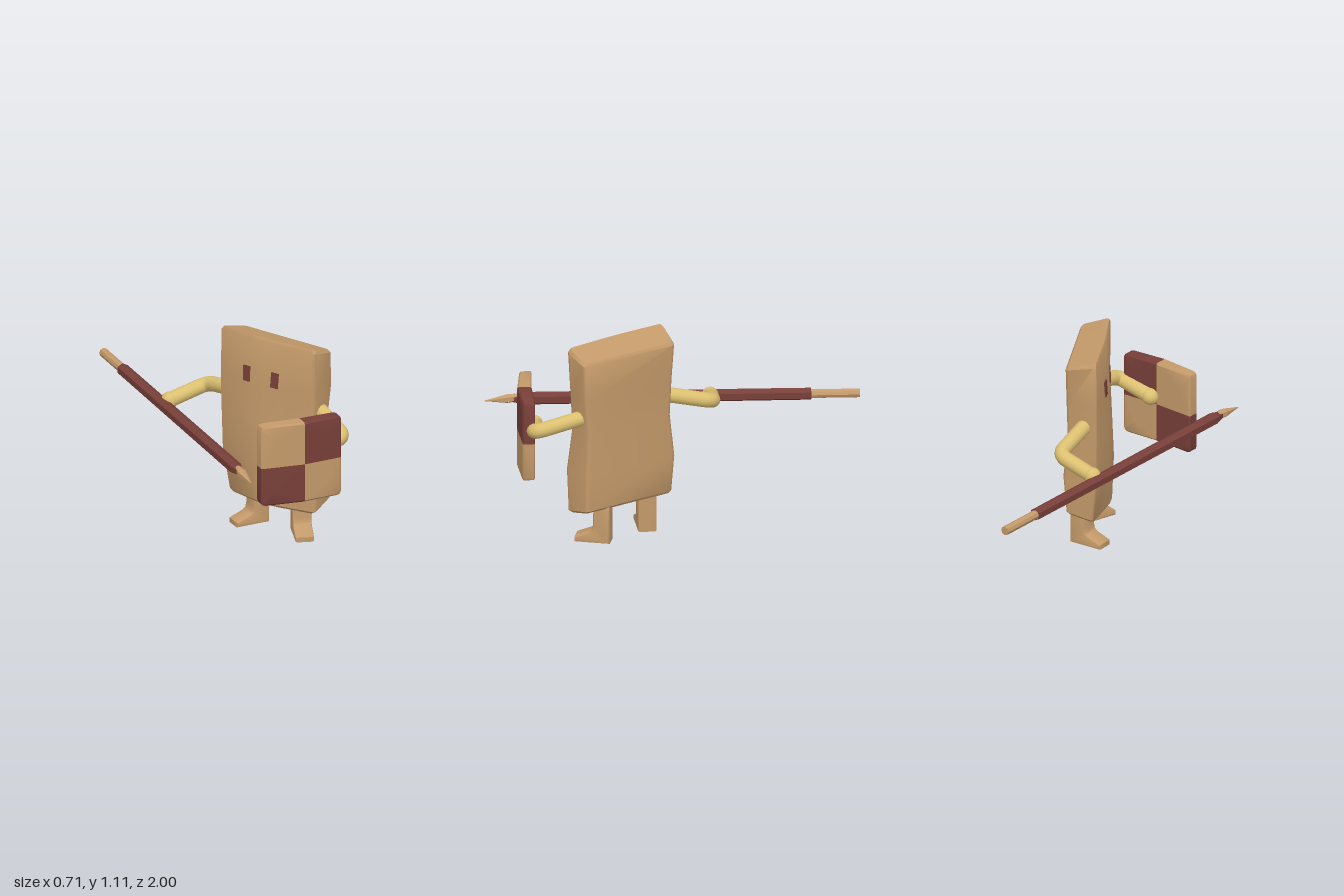
import * as THREE from 'three';
import { toCreasedNormals } from 'three/addons/utils/BufferGeometryUtils.js';

const V = (x, y, z) => new THREE.Vector3(x, y, z);

// Skin between closed loops (counter-clockwise seen from the last one), with fan caps
function loft(loops, crease = 0.6) {
  const pos = [];
  const tri = (...p) => p.forEach((v) => pos.push(v.x, v.y, v.z));
  const n = loops[0].length;
  const centre = (loop) => loop.reduce((s, v) => s.add(v), V(0, 0, 0)).divideScalar(n);
  const first = loops[0], last = loops[loops.length - 1];
  const c0 = centre(first), c1 = centre(last);
  for (let i = 0; i < n; i++) {
    const j = (i + 1) % n;
    for (let k = 0; k < loops.length - 1; k++) {
      const a = loops[k], b = loops[k + 1];
      tri(a[i], a[j], b[j]);
      tri(a[i], b[j], b[i]);
    }
    tri(c0, first[j], first[i]);
    tri(c1, last[i], last[j]);
  }
  const g = new THREE.BufferGeometry();
  g.setAttribute('position', new THREE.Float32BufferAttribute(pos, 3));
  return toCreasedNormals(g, crease);
}

// Replace each corner with a short curve
function roundLoop(pts, radii) {
  const n = pts.length;
  return pts.flatMap((p, i) => {
    const cut = (q) => p.clone().lerp(q, Math.min(0.35, radii[i] / p.distanceTo(q)));
    const a = cut(pts[(i + n - 1) % n]), b = cut(pts[(i + 1) % n]);
    return new THREE.QuadraticBezierCurve3(a, p, b).getPoints(3);
  });
}

export function createModel() {
  const model = new THREE.Group();
  const mat = (name, color) => {
    const m = new THREE.MeshStandardMaterial({ color });
    m.name = name;
    return m;
  };
  const tan = mat('tan', 0xc49a6a);
  const brown = mat('darkBrown', 0x783f39);
  const yellow = mat('yellow', 0xdcc071);
  const add = (name, geometry, material, parent = model) => {
    const m = new THREE.Mesh(geometry, material);
    m.name = name;
    parent.add(m);
    return m;
  };
  const rod = (name, from, to, r0, r1, sides, material) => {
    const g = toCreasedNormals(new THREE.CylinderGeometry(r1, r0, from.distanceTo(to), sides), 0.5);
    const m = add(name, g, material);
    m.position.copy(from).lerp(to, 0.5);
    m.quaternion.setFromUnitVectors(V(0, 1, 0), to.clone().sub(from).normalize());
  };

  // Body: a turned slab with sloping ends. Front height, back height, then x,z of
  // right front, front middle, left front, left back, right back
  const sections = [
    [0.165, 0.203, [-0.04, 0.1, 0.035, 0.35, 0.22, 0.575, 0.335, 0.505, 0.085, 0.045]],
    [0.18, 0.218, [-0.05, 0.085, 0.02, 0.36, 0.222, 0.6, 0.355, 0.505, 0.085, 0.03]],
    [0.42, 0.42, [-0.085, 0.07, 0, 0.35, 0.225, 0.61, 0.36, 0.505, 0.095, 0.015]],
    [0.65, 0.65, [-0.09, 0.065, -0.005, 0.33, 0.215, 0.58, 0.345, 0.495, 0.085, 0.04]],
    [0.86, 0.86, [-0.093, 0.06, 0.015, 0.325, 0.22, 0.59, 0.36, 0.515, 0.085, 0.03]],
    [1.09, 1.05, [-0.09, 0.065, 0.04, 0.33, 0.22, 0.603, 0.355, 0.52, 0.08, 0.015]],
    [1.11, 1.066, [-0.08, 0.075, 0.055, 0.33, 0.22, 0.59, 0.342, 0.515, 0.074, 0.027]],
  ];
  const body = add('body', loft(sections.map(([front, back, c]) => {
    const pts = [0, 1, 2, 3, 4].map((i) => V(c[2 * i], i < 3 ? front : back, c[2 * i + 1]));
    return roundLoop(pts, [0.02, 0.12, 0.02, 0.02, 0.02]);
  })), tan);

  // Eyes: thin plates laid on the front of the body
  body.updateMatrixWorld();
  [['rightEye', -0.015, 0.045, 0.02], ['leftEye', 0.076, 0.045, -0.06]].forEach(([name, x, w, roll]) => {
    const hit = new THREE.Raycaster(V(x, 0.89, 2), V(0, 0, -1)).intersectObject(body)[0];
    const eye = add(name, new THREE.BoxGeometry(w, 0.086, 0.009), brown);
    eye.position.copy(hit.point).addScaledVector(hit.face.normal, 0.001);
    eye.lookAt(eye.position.clone().add(hit.face.normal));
    eye.rotateZ(roll);
  });

  // Legs: side profile with a wedge foot, extruded across
  const profile = new THREE.Shape([
    [-0.036, 0.01], [0.135, 0.01], [0.135, 0.02], [0.06, 0.05],
    [0.042, 0.065], [0.034, 0.1], [0.032, 0.24], [-0.036, 0.24],
  ].map(([x, y]) => new THREE.Vector2(x, y)));
  const legGeo = toCreasedNormals(new THREE.ExtrudeGeometry(profile, {
    depth: 0.082, bevelThickness: 0.01, bevelSize: 0.01, bevelSegments: 2,
  }).translate(0, 0, -0.041), 0.7);
  [['rightLeg', 0.081, 0.168, Math.PI + 0.05], ['leftLeg', 0.224, 0.412, -Math.PI / 2 - 0.28]]
    .forEach(([name, x, z, turn]) => {
      const leg = add(name, legGeo, tan);
      leg.position.set(x, 0, z);
      leg.rotation.y = turn;
    });

  // Arms: bent tubes with ball hands
  const arm = (name, s, e, h) => {
    const group = new THREE.Group();
    group.name = name;
    model.add(group);
    const path = new THREE.CurvePath();
    const a = e.clone().lerp(s, 0.22), b = e.clone().lerp(h, 0.25);
    path.add(new THREE.LineCurve3(s, a));
    path.add(new THREE.QuadraticBezierCurve3(a, e, b));
    path.add(new THREE.LineCurve3(b, h));
    add(name + 'Sleeve', new THREE.TubeGeometry(path, 32, 0.041, 14), yellow, group);
    const ball = add(name + 'Hand', new THREE.SphereGeometry(0.046, 16, 12), yellow, group);
    ball.position.copy(h);
  };
  arm('rightArm', V(-0.01, 0.735, 0.08), V(-0.04, 0.672, -0.2), V(-0.265, 0.61, -0.2));
  arm('leftArm', V(0.28, 0.74, 0.5), V(0.312, 0.67, 0.785), V(0.08, 0.625, 0.765));

  // Shield: four quarters with rounded outer edges, bent slightly back at the sides
  const shield = new THREE.Group();
  shield.name = 'shield';
  shield.position.set(0.047, 0.584, 0.815);
  model.add(shield);
  for (const sx of [-1, 1]) for (const sy of [-1, 1]) {
    const levels = [[-0.039, 0.009], [-0.031, 0], [0.031, 0], [0.039, 0.009]];
    const loops = levels.map(([z, inset]) => {
      const w = (sx < 0 ? 0.237 : 0.22) - inset, h = (sy < 0 ? 0.216 : 0.239) - inset, r = 0.022;
      const pts = [[0, 0], [w, 0], [w, h - r], [w - 0.3 * r, h - 0.3 * r], [w - r, h], [0, h]]
        .map(([x, y]) => V(sx * x, sy * y, z * (1 - 0.7 * x) - x * (sx < 0 ? 0.11 : 0.035)));
      return sx * sy < 0 ? pts.reverse() : pts;
    });
    const name = (sy < 0 ? 'lower' : 'upper') + (sx < 0 ? 'Right' : 'Left') + 'Quarter';
    add(name, loft(loops), sx * sy < 0 ? tan : brown, shield);
  }

  // Spear: pale butt, dark hexagonal shaft and a leaf point lying on its top
  const at = (z, lift = 0) => V(-0.309 - 0.021 * z, 0.595 + 0.008 * z + lift, z);
  rod('spearButt', at(-1), at(-0.72), 0.025, 0.025, 8, tan);
  rod('spearShaft', at(-0.74), at(0.785), 0.034, 0.036, 6, brown);
  rod('spearCollar', at(0.785), at(0.86), 0.035, 0.018, 6, brown);
  rod('bladeBack', at(0.7, 0.031), at(0.87, 0), 0.001, 0.026, 6, tan);
  rod('bladePoint', at(0.87, 0), at(1, -0.012), 0.026, 0.001, 6, tan);

  return model;
}
